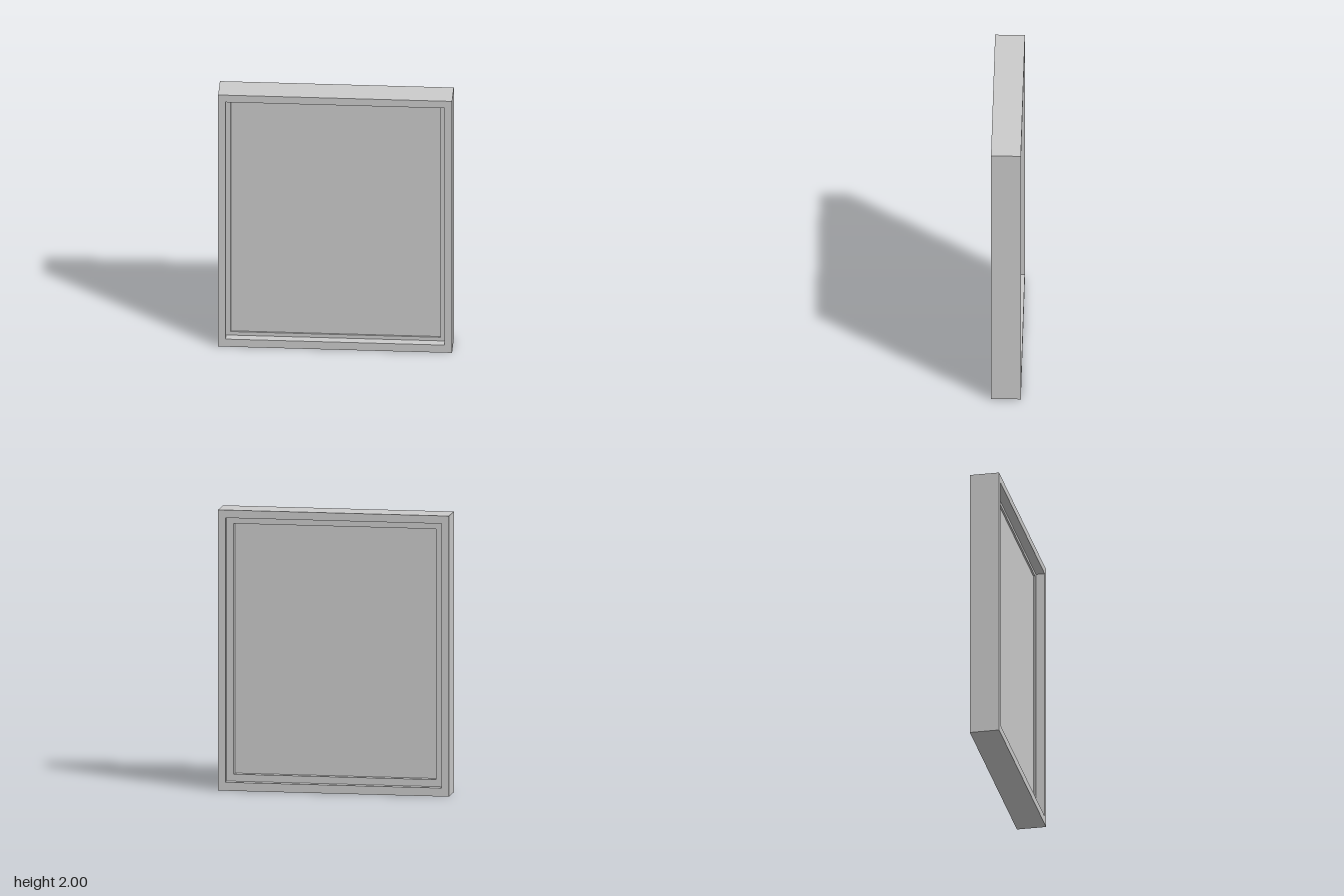
import * as THREE from 'three';

const material = new THREE.MeshStandardMaterial({ color: 0xcccccc });

// Corners of an upright rectangle, counter-clockwise
function corners(halfWidth, bottom, top) {
  return [[-halfWidth, bottom], [halfWidth, bottom], [halfWidth, top], [-halfWidth, top]]
    .map(([x, y]) => new THREE.Vector2(x, y));
}

// Rectangular ring (or solid plate without an inner rectangle) from z = back to z = front
function slab(name, outer, inner, back, front) {
  const shape = new THREE.Shape(corners(...outer));
  if (inner) shape.holes.push(new THREE.Path(corners(...inner).reverse()));
  const geometry = new THREE.ExtrudeGeometry(shape, { depth: front - back, bevelEnabled: false });
  geometry.translate(0, 0, back);
  const mesh = new THREE.Mesh(geometry, material);
  mesh.name = name;
  return mesh;
}

export function createModel() {
  const model = new THREE.Group();
  model.name = 'framedPanel';

  // Rectangles as [half width, bottom, top]
  const outside = [0.825, 0, 2];
  const opening = [0.773, 0.06, 1.944];
  const frontSight = [0.74, 0.088, 1.918];
  const backSight = [0.724, 0.11, 1.896];

  model.add(
    // Deep outer frame
    slab('outerFrame', outside, opening, -0.105, 0.105),
    // Thin lip in front of the panel
    slab('frontLip', opening, frontSight, 0.03, 0.042),
    // Thicker retaining strip behind the panel
    slab('backRetainer', opening, backSight, -0.047, 0.005),
    // Flat panel held between the two
    slab('panel', opening, null, 0.005, 0.03),
  );
  return model;
}
